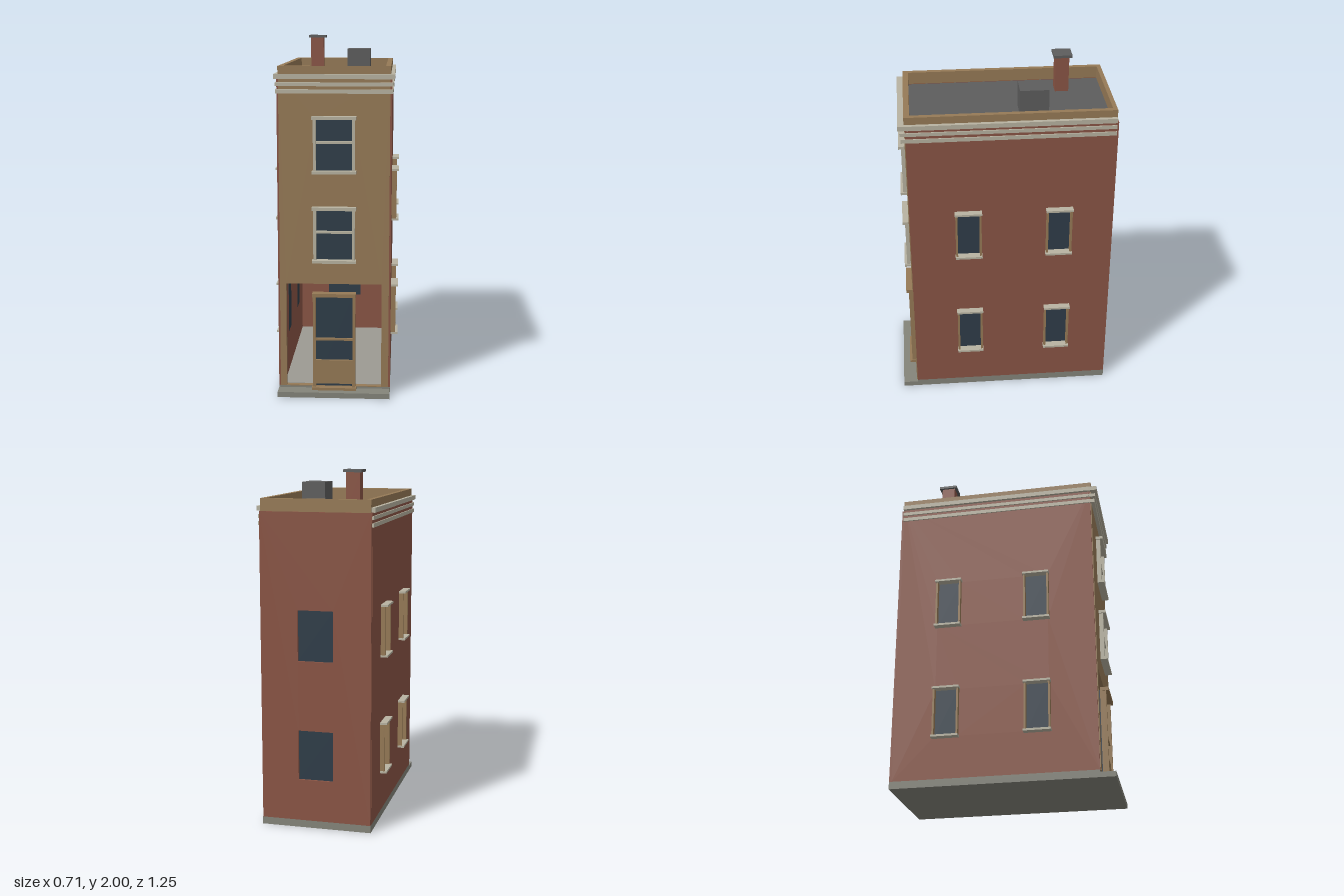
import * as THREE from 'three';

const mat = (name, color) => {
  const m = new THREE.MeshStandardMaterial({ color });
  m.name = name;
  return m;
};

export function createModel() {
  const model = new THREE.Group();
  model.name = 'townhouse';
  const brick = mat('brick', 0x8a5545);
  const tan = mat('tanStone', 0x967a56);
  const trim = mat('paleTrim', 0xb8b3a1);
  const stone = mat('footingStone', 0x84847a);
  const floorMat = mat('paleFloor', 0x9c9a92);
  const roofGrey = mat('roofGrey', 0x5d5d5d);
  const glass = mat('darkGlass', 0x2f3d49);

  // Box given by its minimum and maximum on each axis
  const box = (name, m, x0, x1, y0, y1, z0, z1, parent = model) => {
    const mesh = new THREE.Mesh(new THREE.BoxGeometry(x1 - x0, y1 - y0, z1 - z0), m);
    mesh.position.set((x0 + x1) / 2, (y0 + y1) / 2, (z0 + z1) / 2);
    mesh.name = name;
    parent.add(mesh);
    return mesh;
  };

  // Upright wall slab in local xy with rectangular holes [u0, u1, v0, v1]
  const rect = (path, [u0, u1, v0, v1]) => {
    path.moveTo(u0, v0);
    path.lineTo(u1, v0);
    path.lineTo(u1, v1);
    path.lineTo(u0, v1);
    path.closePath();
    return path;
  };
  const wall = (name, m, outline, holes, depth) => {
    const shape = rect(new THREE.Shape(), outline);
    holes.forEach((h) => shape.holes.push(rect(new THREE.Path(), h)));
    const mesh = new THREE.Mesh(
      new THREE.ExtrudeGeometry(shape, { depth, bevelEnabled: false }), m);
    mesh.name = name;
    model.add(mesh);
    return mesh;
  };

  // Footing, front step and ground floor
  box('frontStep', stone, -0.315, 0.315, 0, 0.03, 0.54, 0.625);
  box('footing', stone, -0.315, 0.315, 0, 0.042, -0.625, 0.54);
  box('groundFloor', floorMat, -0.285, 0.285, 0.042, 0.046, -0.6, 0.51);

  // Side walls with two windows on each of two storeys
  const sideZ = [0.2075, -0.3125];
  const sideY = [0.275, 0.955];
  for (const s of [-1, 1]) {
    const holes = [];
    for (const z of sideZ) for (const y of sideY) {
      holes.push([-z - 0.066, -z + 0.066, y + 0.01, y + 0.29]);
    }
    const w = wall(s > 0 ? 'rightWall' : 'leftWall', brick, [-0.54, 0.61, 0.042, 1.8], holes, 0.03);
    w.rotation.y = Math.PI / 2;
    w.position.x = s > 0 ? 0.285 : -0.315;

    for (const z of sideZ) for (const y of sideY) {
      const g = new THREE.Group();
      g.name = 'sideWindow';
      model.add(g);
      const part = (name, m, a, b, y0, y1, z0, z1) =>
        box(name, m, Math.min(s * a, s * b), Math.max(s * a, s * b), y0, y1, z + z0, z + z1, g);
      part('pane', glass, 0.284, 0.31, y + 0.005, y + 0.295, -0.067, 0.067);
      part('sill', trim, 0.305, 0.355, y, y + 0.012, -0.0775, 0.0775);
      part('lintel', trim, 0.305, 0.355, y + 0.288, y + 0.3, -0.0775, 0.0775);
      for (const e of [-1, 1]) {
        part('jamb', tan, 0.3, 0.342, y + 0.012, y + 0.288, e * 0.0685 - 0.0055, e * 0.0685 + 0.0055);
      }
    }
  }

  // Rear wall with two recessed windows
  wall('rearWall', brick, [-0.313, 0.313, 0.042, 1.78],
    sideY.map((y) => [-0.1, 0.1, y + 0.005, y + 0.29]), 0.025).position.z = -0.625;
  for (const y of sideY) {
    box('rearPane', glass, -0.105, 0.105, y, y + 0.295, -0.613, -0.598);
  }

  // Front facade with a wide ground floor opening and two windows
  const frontY = [0.765, 1.265];
  const frontHoles = frontY.map((y) => [-0.104, 0.104, y + 0.01, y + 0.3]);
  wall('frontFacade', tan, [-0.305, 0.305, 0.042, 1.8],
    [[-0.27, 0.265, 0.046, 0.64], ...frontHoles], 0.03).position.z = 0.515;
  for (const y of frontY) {
    const g = new THREE.Group();
    g.name = 'frontWindow';
    model.add(g);
    box('pane', glass, -0.106, 0.106, y, y + 0.305, 0.51, 0.542, g);
    box('sill', trim, -0.122, 0.122, y, y + 0.016, 0.535, 0.585, g);
    box('lintel', trim, -0.122, 0.122, y + 0.297, y + 0.315, 0.535, 0.585, g);
    box('meetingRail', trim, -0.1, 0.1, y + 0.165, y + 0.178, 0.54, 0.56, g);
    for (const s of [-1, 1]) {
      box('jamb', trim, s * 0.107 - 0.008, s * 0.107 + 0.008, y + 0.016, y + 0.297, 0.535, 0.57, g);
    }
  }

  // Front door standing in the opening
  const door = new THREE.Group();
  door.name = 'frontDoor';
  model.add(door);
  box('doorGlass', glass, -0.108, 0.108, 0.046, 0.58, 0.495, 0.545, door);
  box('lowerPanel', tan, -0.106, 0.106, 0.062, 0.2, 0.545, 0.56, door);
  box('middleRail', tan, -0.106, 0.106, 0.316, 0.328, 0.545, 0.56, door);
  box('threshold', tan, -0.125, 0.125, 0.03, 0.045, 0.53, 0.585, door);
  box('doorLintel', tan, -0.122, 0.122, 0.572, 0.592, 0.535, 0.585, door);
  for (const s of [-1, 1]) {
    box('doorJamb', tan, s * 0.111 - 0.008, s * 0.111 + 0.008, 0.045, 0.572, 0.535, 0.57, door);
  }

  // Stepped cornice bands on the front and both sides
  const bands = [[1.703, 1.725, 0.32, 0.565], [1.743, 1.763, 0.32, 0.57], [1.782, 1.808, 0.328, 0.58]];
  for (const [y0, y1, x, z] of bands) {
    box('frontCornice', trim, -x, x, y0, y1, 0.53, z);
    for (const s of [-1, 1]) {
      box('sideCornice', trim, s > 0 ? 0.3 : -x - 0.002, s > 0 ? x + 0.002 : -0.3, y0, y1, -0.615, 0.53);
    }
  }

  // Parapet ring and flat roof
  const parapet = wall('parapet', tan, [-0.308, 0.308, -0.545, 0.617],
    [[-0.28, 0.28, -0.513, 0.593]], 0.07);
  parapet.rotation.x = -Math.PI / 2;
  parapet.position.y = 1.78;
  box('roof', roofGrey, -0.29, 0.29, 1.74, 1.775, -0.605, 0.52);

  // Chimney and roof hatch
  box('chimney', brick, -0.196, -0.118, 1.77, 1.985, -0.405, -0.327);
  box('chimneyCap', roofGrey, -0.208, -0.104, 1.985, 2, -0.421, -0.314);
  box('roofHatch', roofGrey, 0.04, 0.177, 1.77, 1.922, -0.257, -0.095);

  return model;
}
